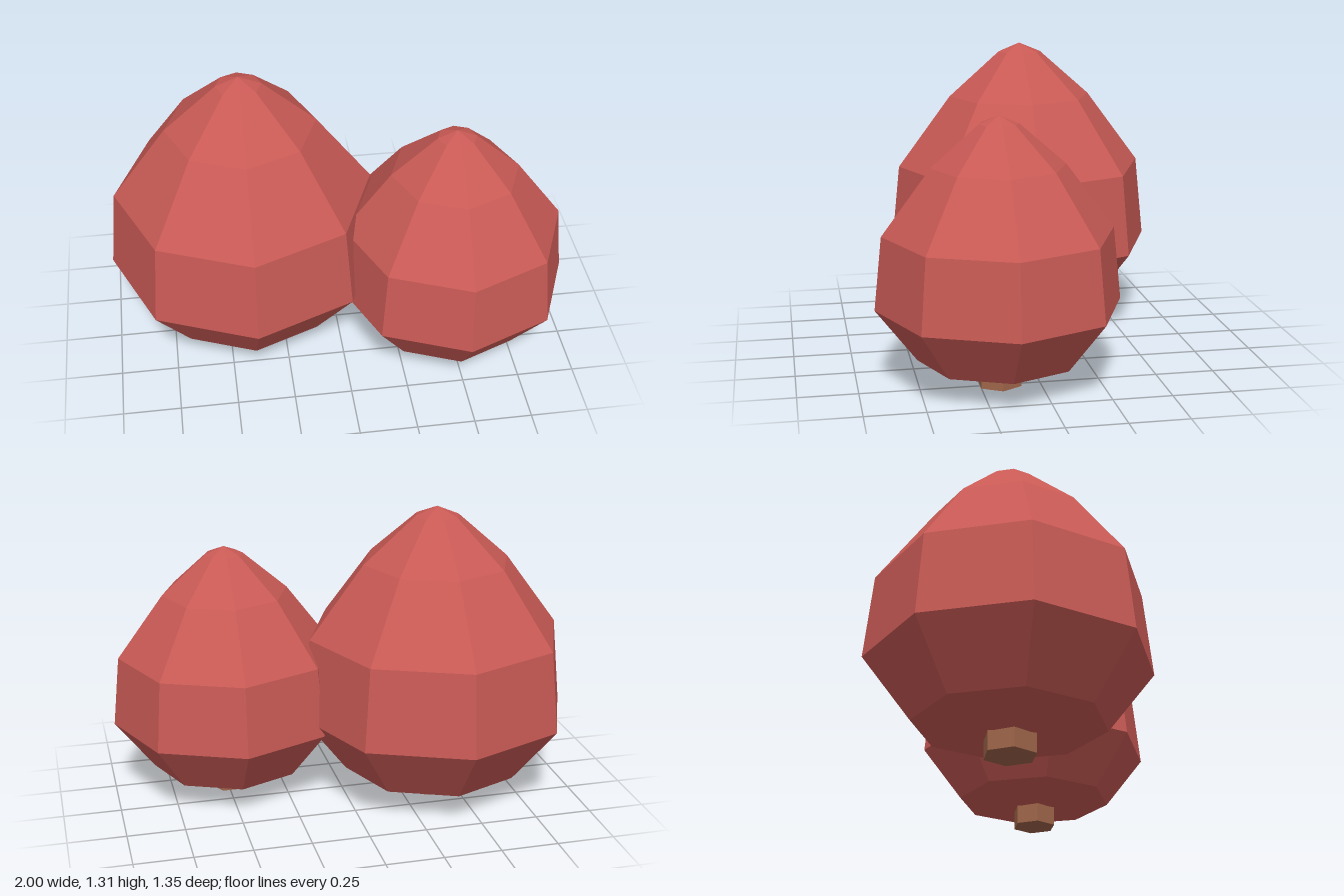
import * as THREE from 'three';

export function createModel() {
  const foliageRed = new THREE.MeshStandardMaterial({ color: 0xc95a55, flatShading: true });
  foliageRed.name = 'foliageRed';
  const barkBrown = new THREE.MeshStandardMaterial({ color: 0xa0664a, flatShading: true });
  barkBrown.name = 'barkBrown';

  const base = 0.08; // height where the foliage begins

  // Crown outline as [radius, height above base], bottom to top
  const outline = [
    [0, 0], [0.1, 0], [0.4, 0.05], [0.6, 0.31], [0.562, 0.67],
    [0.324, 0.99], [0.097, 1.19], [0, 1.23],
  ].map(([r, y]) => new THREE.Vector2(r, y));

  function makeTree(name, x, z, scale) {
    const tree = new THREE.Group();
    tree.name = name;
    tree.position.set(x, 0, z);

    // Eight-sided crown
    const crown = new THREE.Mesh(new THREE.LatheGeometry(outline, 8), foliageRed);
    crown.name = 'crown';
    crown.scale.setScalar(scale);
    crown.position.y = base;

    // Six-sided trunk, reaching slightly into the crown
    const height = base + 0.02;
    const r = 0.113 * scale;
    const trunk = new THREE.Mesh(new THREE.CylinderGeometry(r, r, height, 6), barkBrown);
    trunk.name = 'trunk';
    trunk.rotation.y = Math.PI / 6;
    trunk.position.y = height / 2;

    tree.add(crown, trunk);
    return tree;
  }

  const model = new THREE.Group();
  model.name = 'treePair';
  model.add(makeTree('largeTree', -0.4, -0.077, 1));
  model.add(makeTree('smallTree', 0.485, 0.167, 0.85));
  return model;
}
